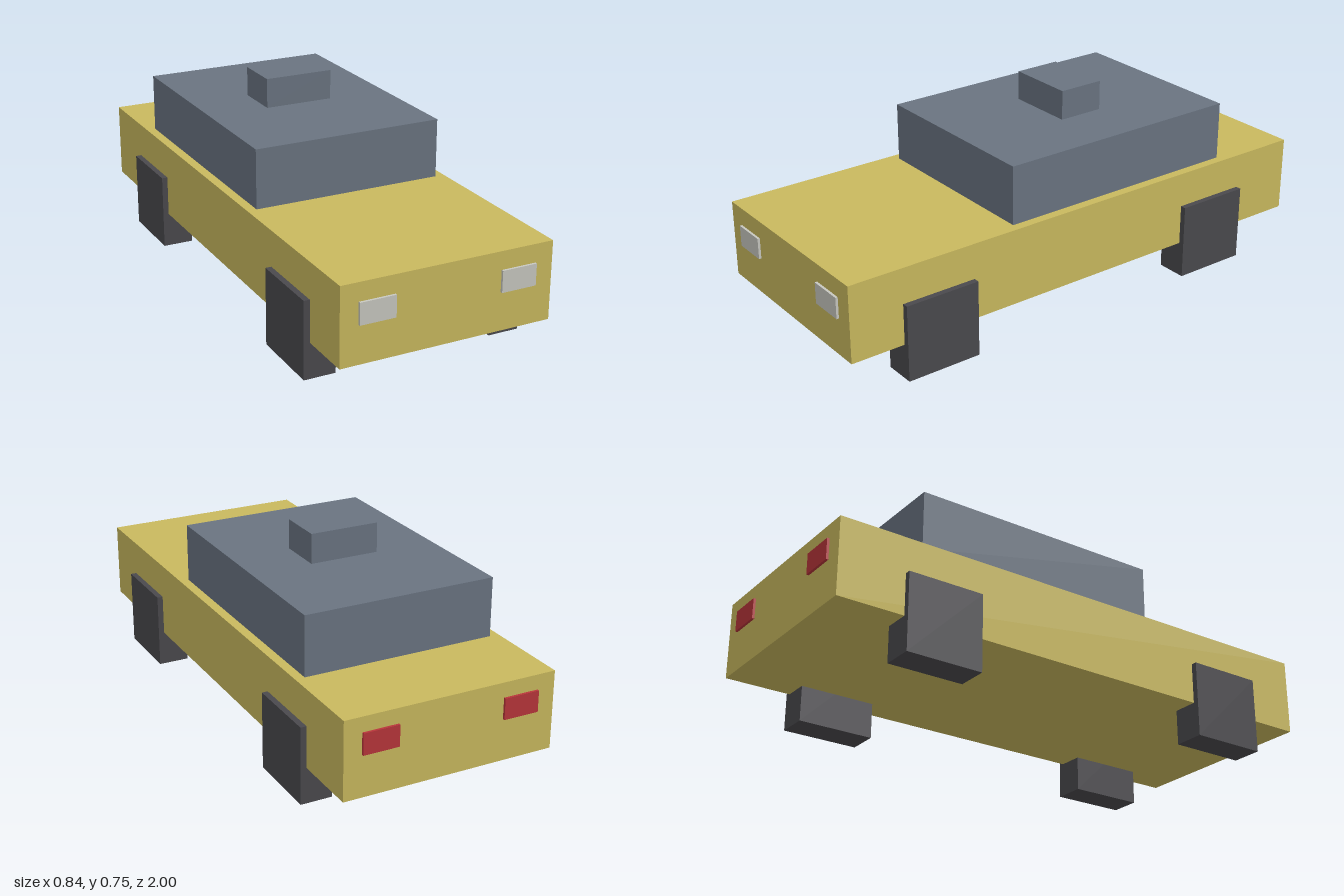
import * as THREE from 'three';

const material = (name, color) => {
  const m = new THREE.MeshStandardMaterial({ color });
  m.name = name;
  return m;
};

export function createModel() {
  const car = new THREE.Group();
  car.name = 'car';

  const yellow = material('yellowPaint', 0xc9b95e);
  const slate = material('slateGlass', 0x6a7481);
  const rubber = material('darkRubber', 0x4a494d);
  const lampWhite = material('lampWhite', 0xc8c8c0);
  const lampRed = material('lampRed', 0xb8353a);

  // Box given by its extents along each axis
  const box = (name, mat, [x0, x1], [y0, y1], [z0, z1]) => {
    const mesh = new THREE.Mesh(new THREE.BoxGeometry(x1 - x0, y1 - y0, z1 - z0), mat);
    mesh.position.set((x0 + x1) / 2, (y0 + y1) / 2, (z0 + z1) / 2);
    mesh.name = name;
    car.add(mesh);
  };

  // Body, cabin and roof sign
  box('body', yellow, [-0.396, 0.396], [0.133, 0.42], [-0.991, 0.991]);
  box('cabin', slate, [-0.361, 0.361], [0.42, 0.64], [-0.66, 0.308]);
  box('roofSign', slate, [-0.131, 0.131], [0.64, 0.751], [-0.264, -0.088]);

  // Blocky wheels and lamps, mirrored left and right
  for (const [side, s] of [['left', 1], ['right', -1]]) {
    const span = (a, b) => (s > 0 ? [a, b] : [-b, -a]);
    box(side + 'FrontWheel', rubber, span(0.3, 0.418), [0, 0.287], [0.498, 0.786]);
    box(side + 'RearWheel', rubber, span(0.3, 0.418), [0, 0.287], [-0.741, -0.452]);
    box(side + 'Headlight', lampWhite, span(0.198, 0.33), [0.274, 0.353], [0.991, 1]);
    box(side + 'TailLight', lampRed, span(0.198, 0.33), [0.287, 0.365], [-1, -0.991]);
  }

  return car;
}
